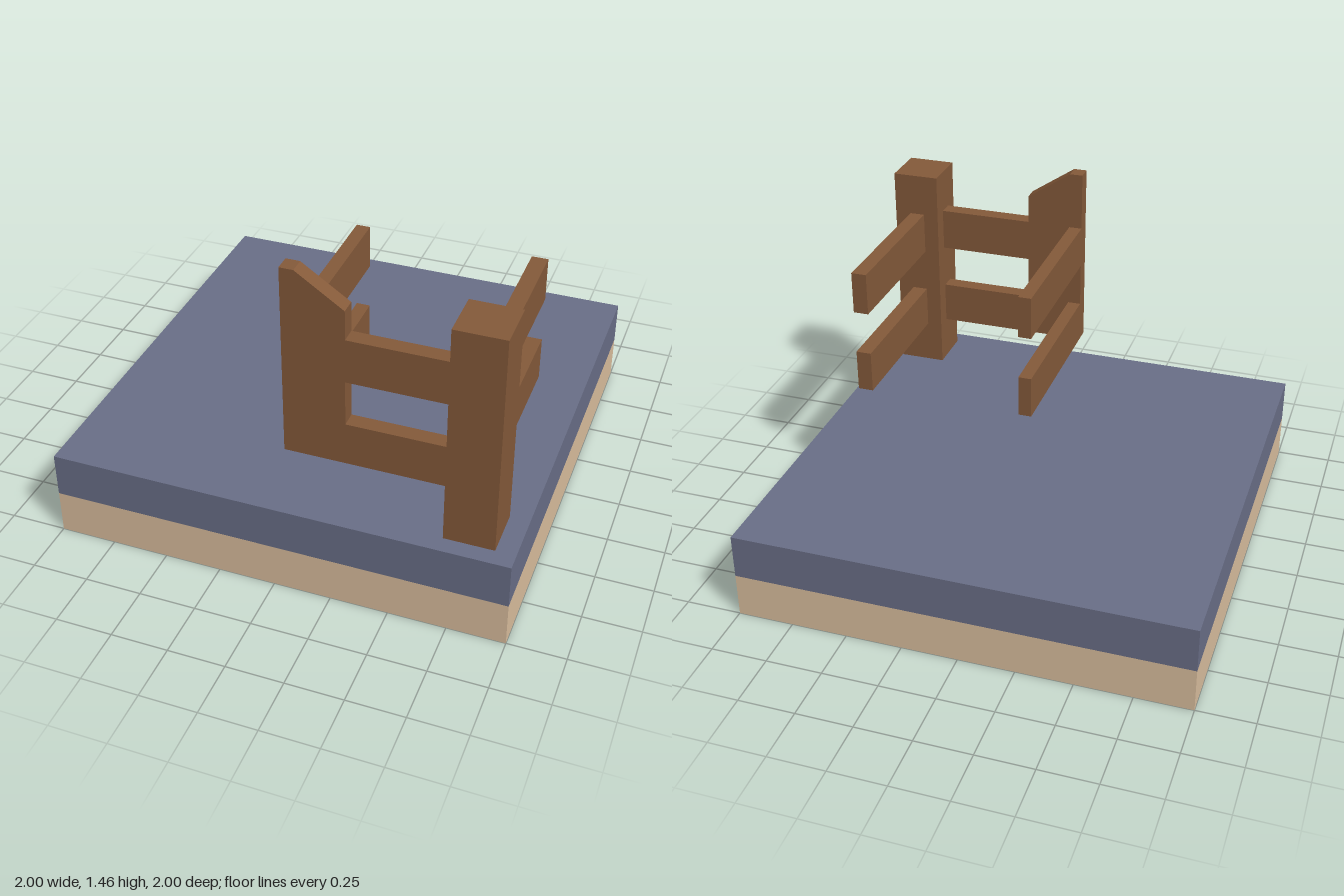
import * as THREE from 'three';

export function createModel() {
  const model = new THREE.Group();
  const wood = new THREE.MeshStandardMaterial({ color: 0x855a3a });
  const stone = new THREE.MeshStandardMaterial({ color: 0x6a6f88 });
  const sand = new THREE.MeshStandardMaterial({ color: 0xdbbf9f });

  // Box given by its minimum and maximum corners
  function box(name, material, [x0, y0, z0], [x1, y1, z1]) {
    const mesh = new THREE.Mesh(new THREE.BoxGeometry(x1 - x0, y1 - y0, z1 - z0), material);
    mesh.position.set((x0 + x1) / 2, (y0 + y1) / 2, (z0 + z1) / 2);
    mesh.name = name;
    model.add(mesh);
  }

  // Two-layer ground slab
  box('lowerSlab', sand, [-1, 0, -1], [1, 0.2, 1]);
  box('upperSlab', stone, [-1, 0.2, -1], [1, 0.4, 1]);

  // Corner post
  box('cornerPost', wood, [0.7, 0.4, 0.707], [0.914, 1.385, 0.925]);

  // Side rails running back from the post and from the front panel
  const railHeights = [[0.6, 0.793], [0.995, 1.19]];
  for (const [y0, y1] of railHeights) {
    box('postRail', wood, [0.77, y0, 0], [0.84, y1, 0.707]);
    box('panelRail', wood, [0, y0, 0], [0.06, y1, 0.78]);
  }

  // Front panel: slanted upright with two rails reaching the post
  const outline = [
    [0, 0.6], [0.7, 0.6], [0.7, 0.793], [0.264, 0.793], [0.264, 0.995], [0.7, 0.995],
    [0.7, 1.19], [0.264, 1.19], [0.264, 1.32], [0.06, 1.457], [0, 1.457],
  ].map(([x, y]) => new THREE.Vector2(x, y));
  const panel = new THREE.Mesh(
    new THREE.ExtrudeGeometry(new THREE.Shape(outline), { depth: 0.07, bevelEnabled: false }),
    wood
  );
  panel.position.z = 0.78;
  panel.name = 'frontPanel';
  model.add(panel);

  return model;
}
